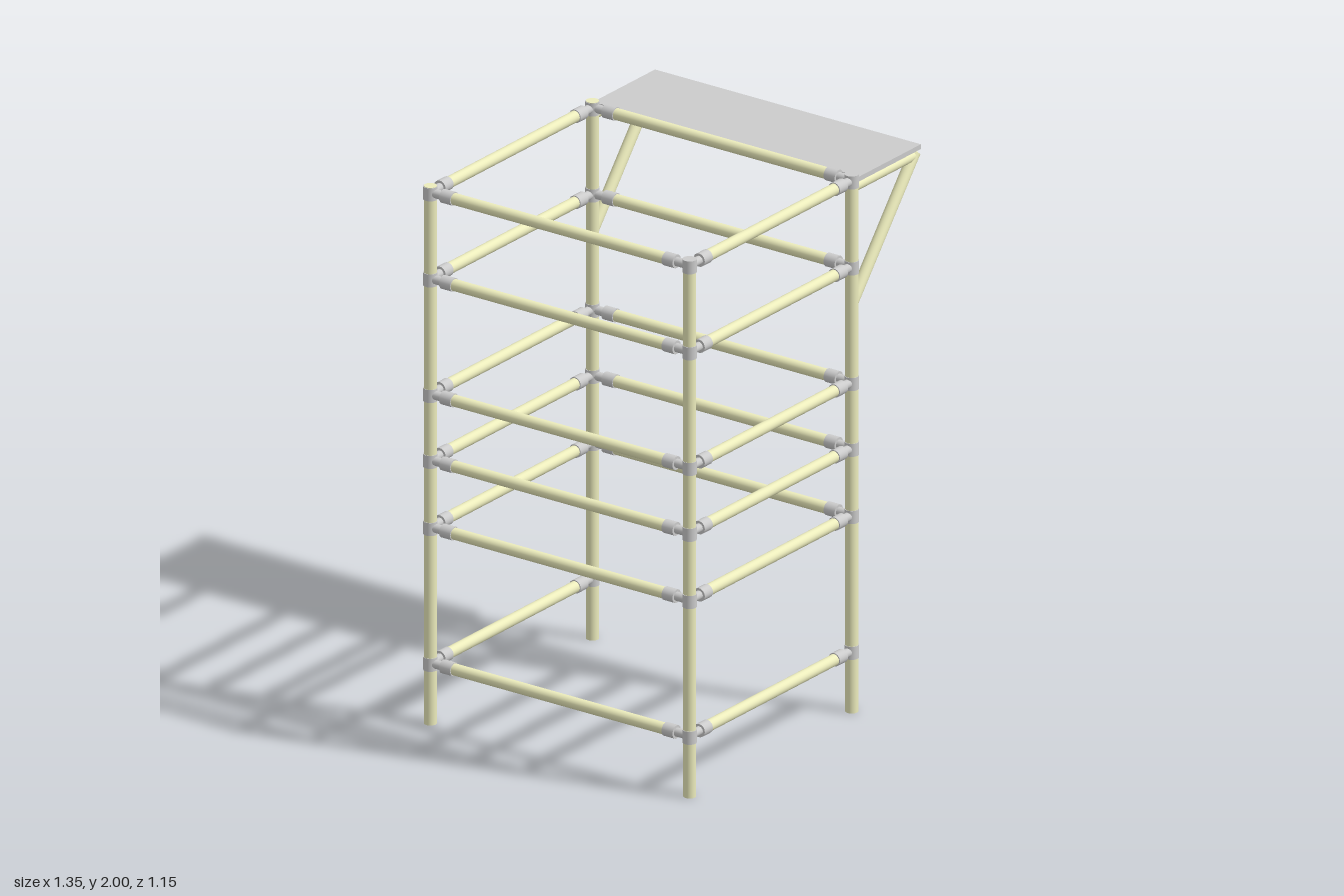
import * as THREE from 'three';

const X0 = -0.652, X1 = 0.29, Z = 0.552;
const LEVELS = [0.225, 0.73, 0.98, 1.225, 1.655, 1.975];
const wood = new THREE.MeshStandardMaterial({ color: 0xececbc });
const metal = new THREE.MeshStandardMaterial({ color: 0xcccccc });
const UP = new THREE.Vector3(0, 1, 0);

// Round bar between two points
function bar(name, a, b, radius, material) {
  const dir = b.clone().sub(a);
  const mesh = new THREE.Mesh(new THREE.CylinderGeometry(radius, radius, dir.length(), 24), material);
  mesh.position.copy(a).add(b).multiplyScalar(0.5);
  mesh.quaternion.setFromUnitVectors(UP, dir.normalize());
  mesh.name = name;
  return mesh;
}

// Rail with a neck and a sleeve at both ends
function rail(name, a, b) {
  const group = new THREE.Group();
  group.name = name;
  const length = a.distanceTo(b);
  const at = (d) => a.clone().lerp(b, d / length);
  group.add(bar('railPole', at(0.075), at(length - 0.075), 0.021, wood));
  for (const place of [at, (d) => at(length - d)]) {
    group.add(bar('fittingNeck', place(0), place(0.06), 0.016, metal));
    group.add(bar('fittingSleeve', place(0.055), place(0.102), 0.0245, metal));
  }
  return group;
}

export function createModel() {
  const model = new THREE.Group();
  model.name = 'scaffoldTower';
  const v = (x, y, z) => new THREE.Vector3(x, y, z);

  // Corner posts with a collar at each rail level; the front posts end inside their top collars
  for (const x of [X0, X1]) {
    for (const z of [-Z, Z]) {
      model.add(bar('post', v(x, 0, z), v(x, z < 0 ? 2 : 1.99, z), 0.0228, wood));
      for (const y of LEVELS) {
        model.add(bar('collar', v(x, y - 0.0245, z), v(x, y + 0.0235, z), 0.025, metal));
      }
    }
  }

  // Rails on all sides; the lowest level is open on the platform side
  LEVELS.forEach((y, i) => {
    model.add(rail('frontRail', v(X0, y, Z), v(X1, y, Z)));
    model.add(rail('backRail', v(X0, y, -Z), v(X1, y, -Z)));
    model.add(rail('rightRail', v(X0, y, -Z), v(X0, y, Z)));
    if (i > 0) model.add(rail('leftRail', v(X1, y, -Z), v(X1, y, Z)));
  });

  // Bracket arms and diagonal braces
  for (const z of [-Z, Z]) {
    model.add(bar('platformArm', v(X1, 1.948, z), v(0.655, 1.948, z), 0.019, wood));
    model.add(bar('platformBrace', v(X1, 1.515, z), v(0.656, 1.957, z), 0.021, wood));
  }

  // Platform board
  const board = new THREE.Mesh(new THREE.BoxGeometry(0.36, 0.018, 1.132), metal);
  board.position.set(0.49, 1.976, 0.002);
  board.name = 'platform';
  model.add(board);

  return model;
}
